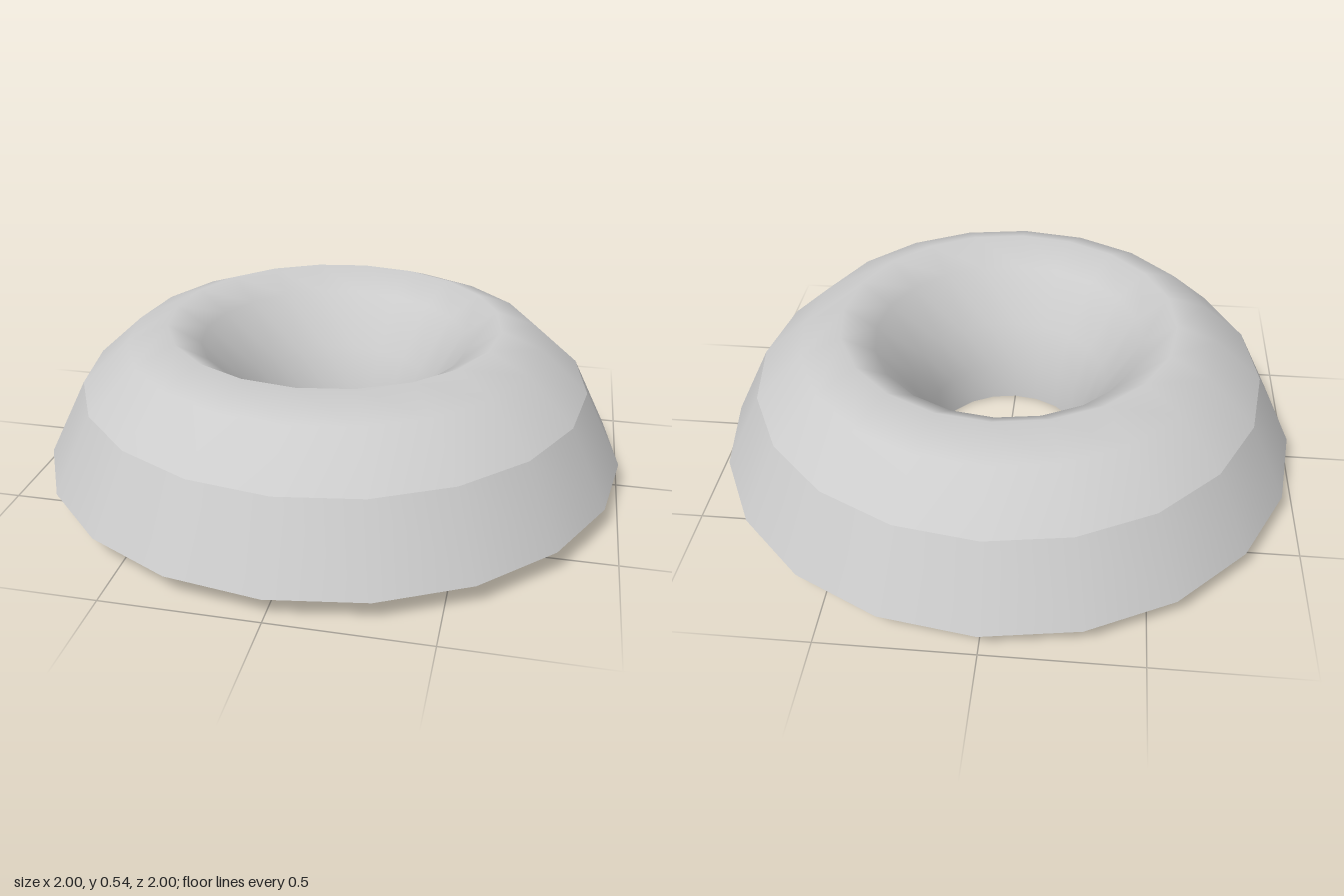
import * as THREE from 'three';

const SIDES = 20;

// Open surface of revolution; profile runs from the outside, over the top, to the inside
function turned(name, profile, material) {
  const points = profile.map(([r, y]) => new THREE.Vector2(r, y));
  const mesh = new THREE.Mesh(new THREE.LatheGeometry(points, SIDES), material);
  mesh.name = name;
  return mesh;
}

export function createModel() {
  const group = new THREE.Group();
  group.name = 'flaredRing';
  const material = new THREE.MeshStandardMaterial({ color: 0xcccccc, side: THREE.DoubleSide });

  // Sloping outer skirt, separate so its upper edge stays sharp
  group.add(turned('skirt', [[1, 0.08], [0.87, 0.34]], material));

  // Rounded crown flowing down through the funnel into the neck
  group.add(turned('crownAndFunnel', [
    [0.87, 0.34], [0.71, 0.485], [0.57, 0.54], [0.46, 0.47],
    [0.34, 0.29], [0.28, 0.14], [0.27, 0],
  ], material));

  return group;
}
